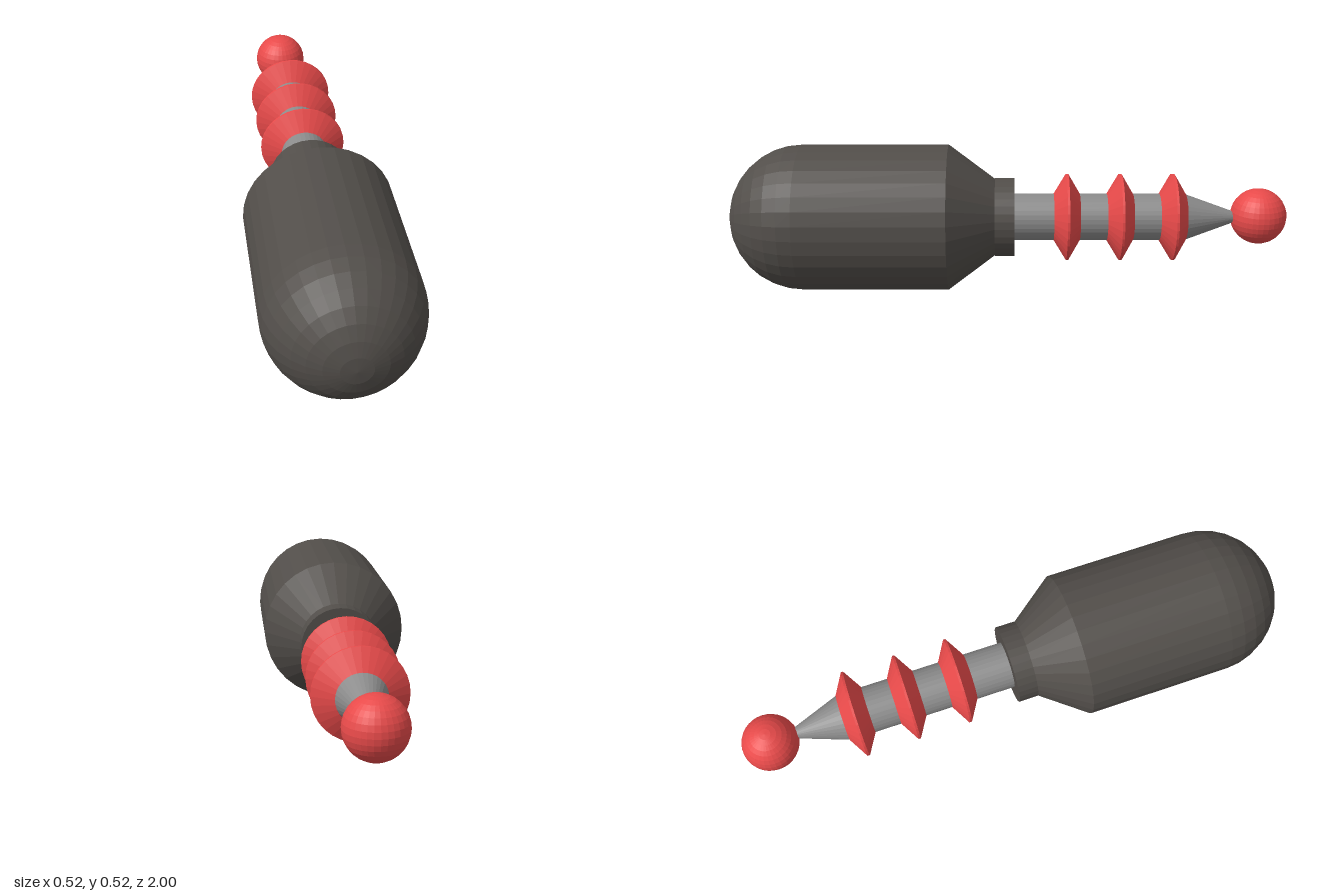
import * as THREE from 'three';

const SIDES = 32;
const AXIS_Y = 0.263;

const paint = (color) => new THREE.MeshStandardMaterial({ color, flatShading: true });

// Turned part around the z axis; profile points are [radius, z] from back to front
function turned(name, profile, material) {
  const points = profile.map(([r, z]) => new THREE.Vector2(r, z));
  const mesh = new THREE.Mesh(new THREE.LatheGeometry(points, SIDES), material);
  mesh.rotation.x = Math.PI / 2;
  mesh.position.y = AXIS_Y;
  mesh.name = name;
  return mesh;
}

export function createModel() {
  const model = new THREE.Group();
  const dark = paint(0x524e4a);
  const grey = paint(0x8c8c8c);
  const red = paint(0xe84a4a);

  // Handle: tapered neck, straight grip and domed end
  const R = 0.261;
  const handle = [[0, 0.05], [0.138, 0.05], [R, 0.215]];
  for (let i = 0; i <= 8; i++) {
    const a = (i / 8) * Math.PI / 2;
    handle.push([i === 8 ? 0 : R * Math.cos(a), 0.739 + R * Math.sin(a)]);
  }
  model.add(turned('handle', handle, dark));

  // Collar where the shaft enters the handle
  model.add(turned('collar', [[0, -0.02], [0.141, -0.02], [0.141, 0.05], [0, 0.05]], dark));

  // Shaft and its tapered tip
  model.add(turned('shaft', [[0, -0.63], [0.084, -0.63], [0.084, -0.02], [0, -0.02]], grey));
  model.add(turned('taperedTip', [[0, -0.83], [0.012, -0.83], [0.084, -0.63], [0, -0.63]], grey));

  // Double-cone discs along the shaft
  [-0.209, -0.4, -0.589].forEach((z, i) => {
    model.add(turned(`disc${i + 1}`, [
      [0.084, z - 0.046], [0.156, z - 0.004], [0.156, z + 0.004], [0.084, z + 0.048],
    ], red));
  });

  // Ball at the end
  const ball = new THREE.Mesh(new THREE.SphereGeometry(0.1, SIDES, 16), red);
  ball.position.set(-0.005, AXIS_Y + 0.002, -0.9);
  ball.name = 'endBall';
  model.add(ball);

  return model;
}
